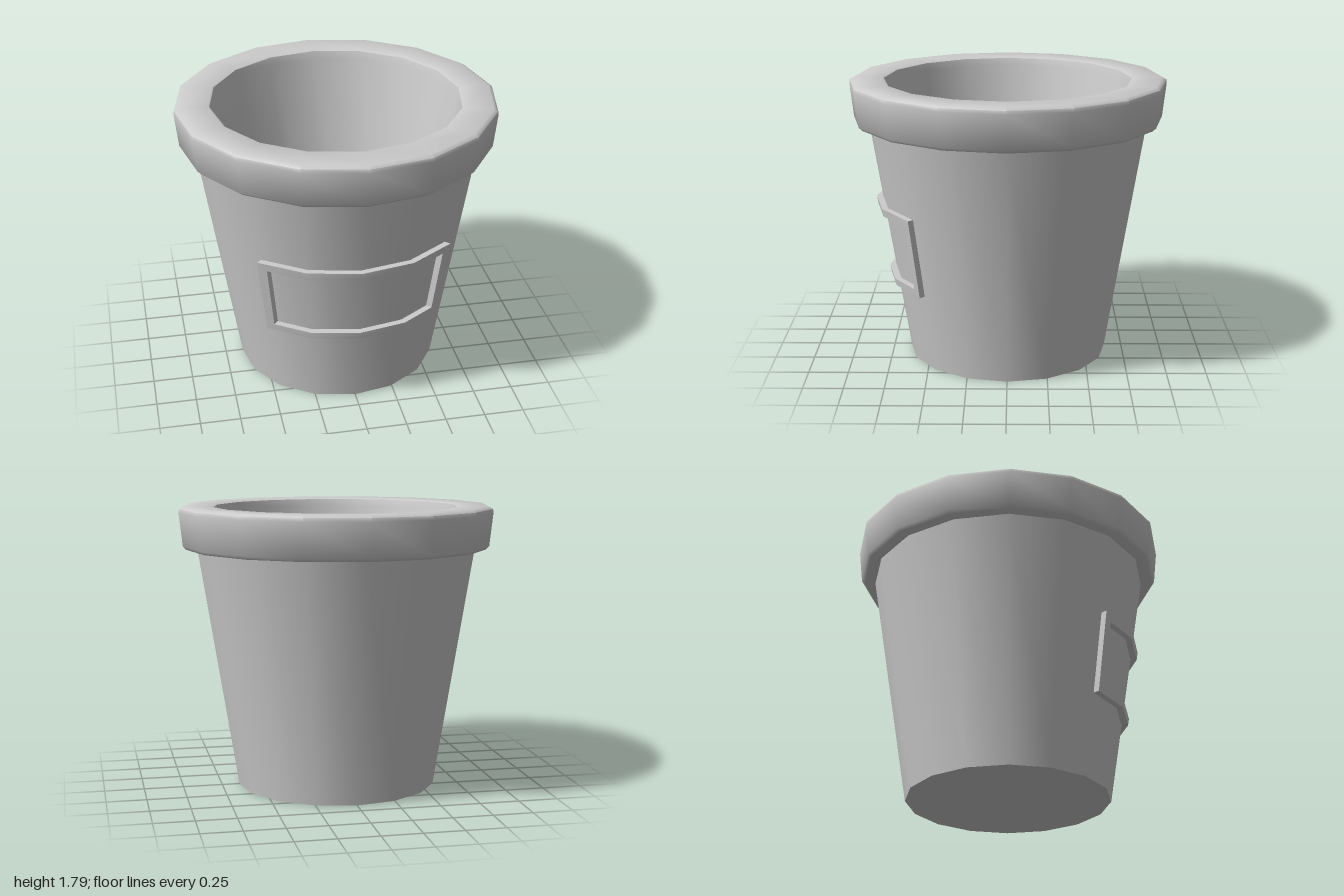
import * as THREE from 'three';
import { toCreasedNormals } from 'three/addons/utils/BufferGeometryUtils.js';

const SIDES = 16;
const STEP = (Math.PI * 2) / SIDES;
const wallRadius = (y) => 0.64 + 0.16 * y;

export function createModel() {
  const group = new THREE.Group();
  const clay = new THREE.MeshStandardMaterial({ color: 0xcccccc });
  clay.name = 'clay grey';

  function add(name, geometry, crease) {
    const mesh = new THREE.Mesh(toCreasedNormals(geometry, crease), clay);
    mesh.name = name;
    group.add(mesh);
  }

  function turned(name, profile) {
    const points = profile.map(([r, y]) => new THREE.Vector2(r, y));
    add(name, new THREE.LatheGeometry(points, SIDES), 0.9);
  }

  // Tapered outer wall with closed base
  turned('outerWall', [[0, 0], [0.638, 0], [0.885, 1.53]]);
  // Overhanging rim with softened edges
  turned('rim', [
    [0.88, 1.528], [0.955, 1.525], [0.975, 1.545], [0.998, 1.755],
    [0.995, 1.778], [0.97, 1.793], [0.79, 1.79], [0.78, 1.785],
  ]);
  // Hollow inside and its floor
  turned('innerWall', [[0.78, 1.785], [0.768, 1.74], [0.54, 0.16], [0, 0.16]]);

  // Point on the faceted wall; t counts facets from the front centre
  function onWall(t, y, out) {
    const i = Math.floor(t), f = t - i, r = wallRadius(y) + out;
    const a = i * STEP, b = (i + 1) * STEP;
    return [
      r * THREE.MathUtils.lerp(Math.sin(a), Math.sin(b), f), y,
      r * THREE.MathUtils.lerp(Math.cos(a), Math.cos(b), f),
    ];
  }

  // Raised bar bent around the wall
  function bar(name, t0, t1, y0, y1, segments) {
    const g = new THREE.BoxGeometry(1, 1, 1, segments, 1, 1);
    const p = g.attributes.position;
    for (let i = 0; i < p.count; i++) {
      let t = THREE.MathUtils.lerp(t0, t1, p.getX(i) + 0.5);
      if (segments > 1) t = Math.round(t);
      const y = THREE.MathUtils.lerp(y0, y1, p.getY(i) + 0.5);
      p.setXYZ(i, ...onWall(t, y, p.getZ(i) > 0 ? 0.04 : -0.015));
    }
    add(name, g, 0.5);
  }

  // Label frame on the front
  bar('frameTop', -2, 2, 0.97, 1.02, 4);
  bar('frameBottom', -2, 2, 0.51, 0.555, 4);
  bar('frameLeft', 1.82, 2, 0.555, 0.97, 1);
  bar('frameRight', -2, -1.82, 0.555, 0.97, 1);

  return group;
}
